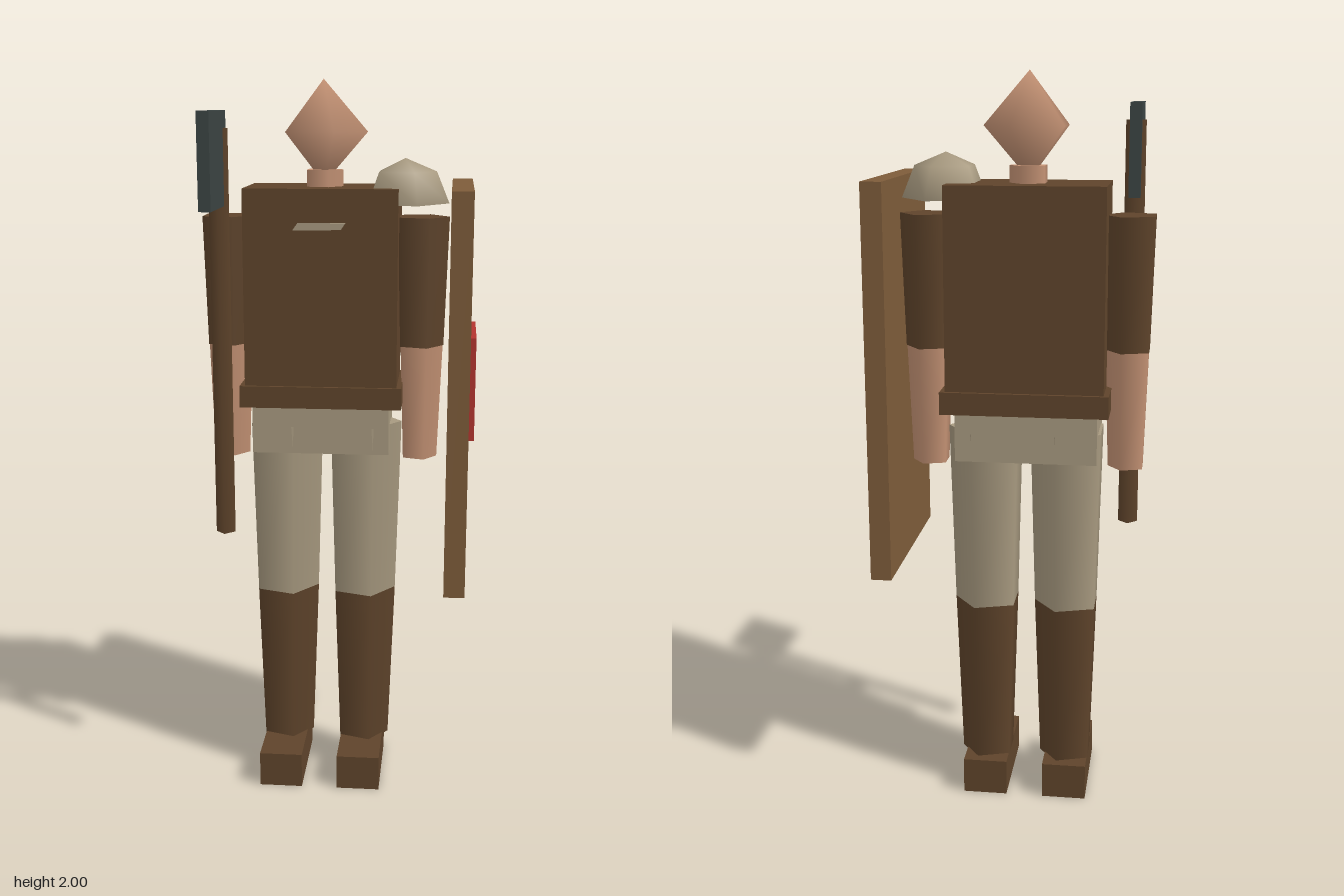
import * as THREE from 'three';

const mat = (name, color) => {
  const m = new THREE.MeshStandardMaterial({ color });
  m.name = name;
  return m;
};

export function createModel() {
  const leather = mat('darkLeather', 0x5f442b);
  const wood = mat('wood', 0x7e5c3a);
  const cloth = mat('paleCloth', 0xa89a80);
  cloth.side = THREE.DoubleSide;
  const skin = mat('skin', 0xc49274);
  const steel = mat('darkSteel', 0x3b4443);
  const red = mat('red', 0xb4352f);

  const model = new THREE.Group();
  model.name = 'shieldBearer';
  const CX = -0.047, CZ = -0.09; // centre line of the body

  const add = (name, geometry, material, x = 0, y = 0, z = 0) => {
    const mesh = new THREE.Mesh(geometry, material);
    mesh.name = name;
    mesh.position.set(x, y, z);
    model.add(mesh);
    return mesh;
  };
  // Box given by its lower and upper limits on each axis
  const box = (name, material, [x0, x1], [y0, y1], [z0, z1]) =>
    add(name, new THREE.BoxGeometry(x1 - x0, y1 - y0, z1 - z0), material,
      (x0 + x1) / 2, (y0 + y1) / 2, (z0 + z1) / 2);
  // Upright few-sided column with one corner pointing to +x
  const column = (name, material, x, z, y0, y1, r0, r1, sides = 5) =>
    add(name, new THREE.CylinderGeometry(r1, r0, y1 - y0, sides).rotateY(Math.PI / 2),
      material, x, (y0 + y1) / 2, z);

  // Trunk
  box('torso', leather, [-0.256, 0.162], [1.15, 1.715], [-0.212, 0.032]);
  box('belt', leather, [-0.27, 0.176], [1.12, 1.18], [-0.223, 0.042]);
  box('pelvis', cloth, [-0.239, 0.141], [0.985, 1.12], [-0.19, 0.013]);

  // Thin pale clasp on the chest
  const clasp = new THREE.Shape([[-0.12, 1.606], [0.01, 1.608], [0.022, 1.626], [-0.106, 1.626]]
    .map(([x, y]) => new THREE.Vector2(x, y)));
  add('chestClasp', new THREE.ExtrudeGeometry(clasp, { depth: 0.008, bevelEnabled: false }),
    cloth, 0, 0, 0.031);

  // Neck and head
  column('neck', skin, CX, CZ, 1.7, 1.76, 0.053, 0.053);
  add('head', new THREE.SphereGeometry(0.12, 5, 2).rotateY(Math.PI).scale(1, 1.15, 1),
    skin, CX, 1.86, CZ);

  // Arms and legs
  for (const [side, s] of [['left', 1], ['right', -1]]) {
    const armX = CX + s * 0.268, legX = CX + s * 0.112;
    column(side + 'Sleeve', leather, armX, CZ, 1.28, 1.635, 0.066, 0.077);
    column(side + 'Forearm', skin, armX, CZ, 0.96, 1.28, 0.052, 0.064);
    column(side + 'Thigh', cloth, legX, -0.088, 0.56, 1.06, 0.094, 0.108);
    column(side + 'Boot', leather, legX, -0.088, 0.095, 0.56, 0.077, 0.094);
    box(side + 'Foot', leather, [legX - 0.061, legX + 0.061], [0, 0.1], [-0.187, 0.1]);
  }

  // Open shoulder dome on the left
  add('shoulderGuard',
    new THREE.SphereGeometry(0.12, 5, 2, 0, Math.PI * 2, 0, Math.PI / 2).rotateY(Math.PI),
    cloth, 0.176, 1.672, -0.069);

  // Shield with a red plate
  box('shield', wood, [0.303, 0.359], [0.67, 1.727], [-0.28, 0.278]);
  box('shieldPlate', red, [0.359, 0.375], [1.063, 1.34], [-0.14, 0.138]);

  // Axe held on the right
  column('axeShaft', leather, -0.315, 0.044, 0.76, 1.872, 0.027, 0.027, 4);
  box('axeBlade', steel, [-0.331, -0.299], [1.67, 1.917], [0.01, 0.254]);

  return model;
}
